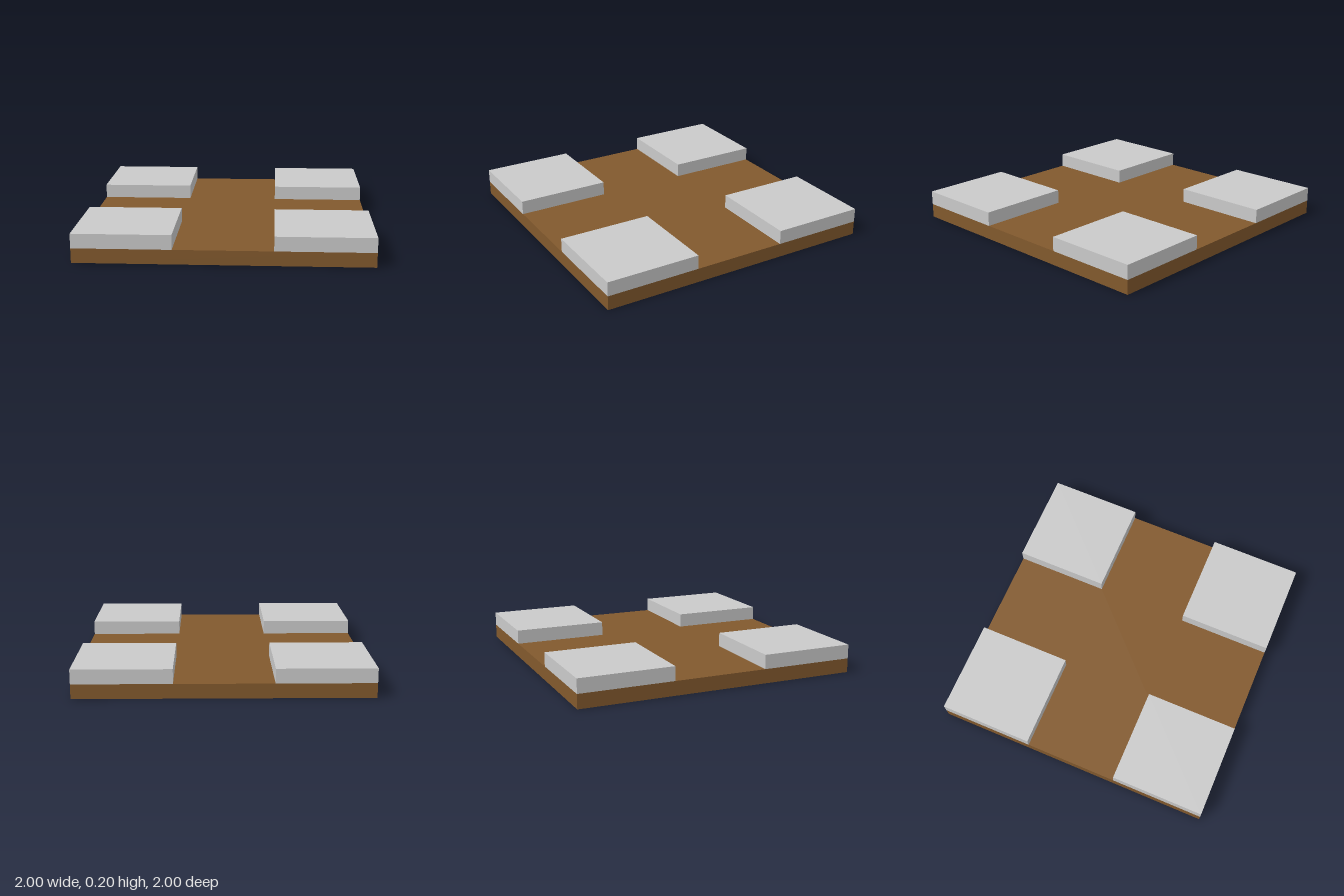
import * as THREE from 'three';

export function createModel() {
  const model = new THREE.Group();
  model.name = 'crossroadTile';

  const brown = new THREE.MeshStandardMaterial({ color: 0x82592d });
  brown.name = 'earthBrown';
  const grey = new THREE.MeshStandardMaterial({ color: 0xcacaca });
  grey.name = 'paleGrey';

  const layer = 0.1; // thickness of the base and of the corner slabs
  const side = 2 / 3; // each corner slab covers a third of the tile's width

  function addBlock(name, width, material, x, y, z) {
    const mesh = new THREE.Mesh(new THREE.BoxGeometry(width, layer, width), material);
    mesh.name = name;
    mesh.position.set(x, y, z);
    model.add(mesh);
  }

  // Square base, whose bare top forms the cross-shaped path
  addBlock('base', 2, brown, 0, layer / 2, 0);

  // Raised slabs flush with the four corners
  const offset = 1 - side / 2;
  for (const [sx, xName] of [[1, 'Left'], [-1, 'Right']]) {
    for (const [sz, zName] of [[1, 'front'], [-1, 'back']]) {
      addBlock(`${zName}${xName}CornerSlab`, side, grey, sx * offset, layer * 1.5, sz * offset);
    }
  }

  return model;
}
